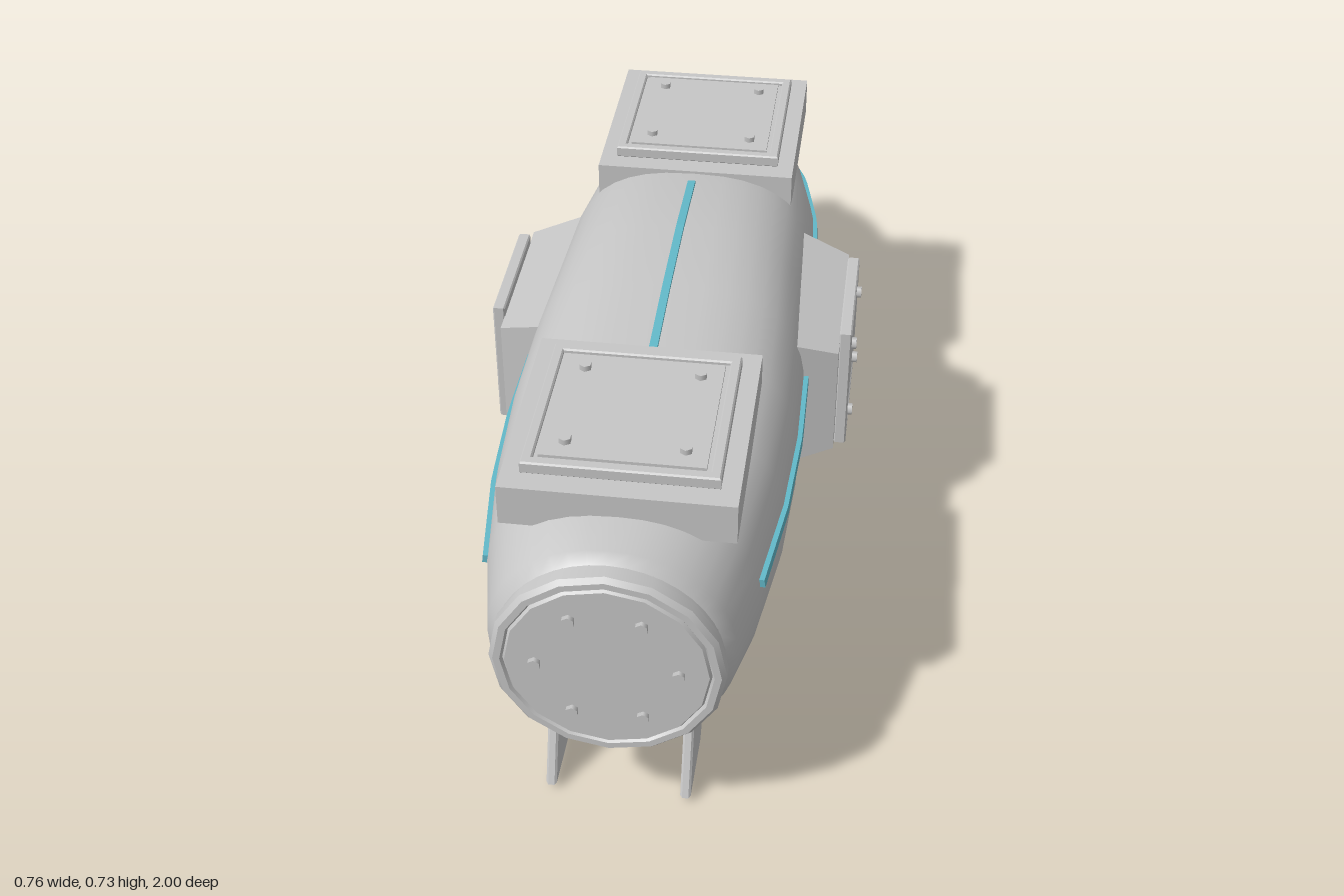
import * as THREE from 'three';

const grey = new THREE.MeshStandardMaterial({ color: 0xc6c6c6 });
grey.name = 'hull grey';
const teal = new THREE.MeshStandardMaterial({ color: 0x62b9c9 });
teal.name = 'stripe teal';

// Hull stations: z, half width, top y, bottom y, squareness
const STATIONS = [
  [0.95, 0.205, 0.63, 0.22, 2], [0.93, 0.222, 0.645, 0.21, 2.1], [0.8, 0.25, 0.655, 0.205, 2.4],
  [0.6, 0.275, 0.665, 0.2, 2.7], [0.4, 0.284, 0.675, 0.198, 2.8], [0.2, 0.28, 0.69, 0.194, 2.8],
  [0, 0.272, 0.695, 0.19, 2.7], [-0.2, 0.268, 0.685, 0.197, 2.6], [-0.4, 0.255, 0.65, 0.225, 2.4],
  [-0.6, 0.215, 0.605, 0.255, 2.2], [-0.7, 0.178, 0.58, 0.27, 2.1], [-0.78, 0.142, 0.56, 0.28, 2],
  [-0.85, 0.113, 0.54, 0.292, 2], [-0.9, 0.083, 0.515, 0.305, 2], [-0.95, 0.05, 0.468, 0.325, 2],
  [-1, 0.038, 0.437, 0.335, 2],
];

// Interpolated hull section at z
function section(z) {
  let i = 0;
  while (i < STATIONS.length - 2 && z < STATIONS[i + 1][0]) i++;
  const a = STATIONS[i], b = STATIONS[i + 1];
  const t = (z - a[0]) / (b[0] - a[0]);
  const [, rx, top, bottom, n] = a.map((v, k) => v + (b[k] - v) * t);
  return { rx, ry: (top - bottom) / 2, cy: (top + bottom) / 2, top, n };
}

function surfaceX(z, y) {
  const s = section(z);
  const v = Math.min(1, Math.abs(y - s.cy) / s.ry);
  return s.rx * Math.pow(1 - Math.pow(v, s.n), 1 / s.n);
}

function add(parent, name, geometry, x = 0, y = 0, z = 0, material = grey) {
  const m = new THREE.Mesh(geometry, material);
  m.name = name;
  m.position.set(x, y, z);
  parent.add(m);
  return m;
}

function hullGeometry() {
  const N = 40, pos = [], idx = [];
  const power = (v, n) => Math.sign(v) * Math.pow(Math.abs(v), 2 / n);
  for (const [z] of STATIONS) {
    const s = section(z);
    for (let j = 0; j < N; j++) {
      const a = (j / N) * Math.PI * 2;
      pos.push(s.rx * power(Math.cos(a), s.n), s.cy + s.ry * power(Math.sin(a), s.n), z);
    }
  }
  for (let i = 0; i < STATIONS.length - 1; i++) {
    for (let j = 0; j < N; j++) {
      const a = i * N + j, b = i * N + (j + 1) % N;
      idx.push(a, a + N, b, b, a + N, b + N);
    }
  }
  const g = new THREE.BufferGeometry();
  g.setAttribute('position', new THREE.Float32BufferAttribute(pos, 3));
  g.setIndex(idx);
  g.computeVertexNormals();
  return g;
}

const boltGeometry = new THREE.CylinderGeometry(0.012, 0.012, 0.012, 6);

// Framed square cover with four bolts, lying flat with its base at y = 0
function cover(name, halfX, halfZ, boltX, boltZ, height = 0.025) {
  const g = new THREE.Group();
  g.name = name;
  const rect = (path, x, z) => path.moveTo(-x, -z).lineTo(x, -z).lineTo(x, z).lineTo(-x, z).closePath();
  const shape = rect(new THREE.Shape(), halfX - 0.003, halfZ - 0.003);
  shape.holes.push(rect(new THREE.Path(), halfX - 0.017, halfZ - 0.017));
  const frame = new THREE.ExtrudeGeometry(shape, {
    depth: height - 0.006, bevelThickness: 0.003, bevelSize: 0.003, bevelSegments: 1,
  });
  frame.rotateX(-Math.PI / 2).translate(0, 0.003, 0);
  add(g, 'coverFrame', frame);
  add(g, 'coverPlate', new THREE.BoxGeometry(2 * halfX - 0.056, height - 0.002, 2 * halfZ - 0.056), 0, height / 2 - 0.001);
  add(g, 'coverBase', new THREE.BoxGeometry(2 * halfX - 0.02, height - 0.008, 2 * halfZ - 0.02), 0, height / 2 - 0.004);
  for (const x of [-1, 1]) for (const z of [-1, 1]) {
    add(g, 'bolt', boltGeometry, x * boltX, height + 0.003, z * boltZ);
  }
  return g;
}

// Round cover facing +z with six bolts
function roundCover(name, r, depth, boltRing) {
  const g = new THREE.Group();
  g.name = name;
  const pts = [[0, 0], [r, 0], [r, depth * 0.7], [r * 0.96, depth], [r * 0.9, depth],
    [r * 0.88, depth * 0.8], [r * 0.86, depth], [0, depth]];
  // Separate bands keep the rim edges sharp
  for (let i = 0; i < pts.length - 1; i++) {
    const band = new THREE.LatheGeometry([pts[i], pts[i + 1]].map(p => new THREE.Vector2(...p)), 16);
    add(g, 'coverBand', band.rotateX(Math.PI / 2));
  }
  for (let i = 0; i < 6; i++) {
    const a = (i / 6) * Math.PI * 2;
    const b = add(g, 'bolt', boltGeometry, Math.cos(a) * boltRing, Math.sin(a) * boltRing, depth + 0.003);
    b.rotation.x = Math.PI / 2;
  }
  return g;
}

// Box whose vertices are moved by rule(x, y, z) -> [x, y, z]
function shapedBox(w, h, d, rule, segments = 1) {
  const g = new THREE.BoxGeometry(w, h, d, 1, 1, segments).toNonIndexed();
  const p = g.attributes.position;
  for (let i = 0; i < p.count; i++) p.setXYZ(i, ...rule(p.getX(i), p.getY(i), p.getZ(i)));
  g.computeVertexNormals();
  return g;
}

export function createModel() {
  const model = new THREE.Group();
  model.name = 'pod';

  // Hull and its two ends
  add(model, 'hull', hullGeometry());
  const tip = add(model, 'tailCap', new THREE.CircleGeometry(1, 40), 0, 0.386, -1);
  tip.scale.set(0.038, 0.051, 1);
  tip.rotation.y = Math.PI;
  const collar = new THREE.CylinderGeometry(0.205, 0.205, 0.03, 16).rotateX(Math.PI / 2);
  add(model, 'frontCollar', collar, 0, 0.425, 0.95);
  const front = roundCover('frontCover', 0.21, 0.03, 0.127);
  front.position.set(0, 0.425, 0.961);
  model.add(front);

  // Top blocks with covers
  for (const [name, y, z] of [['front', 0.655, 0.632], ['rear', 0.642, -0.46]]) {
    add(model, name + 'TopBlock', new THREE.BoxGeometry(0.42, 0.082, 0.435), 0, y, z);
    const c = cover(name + 'TopCover', 0.176, 0.176, 0.107, 0.107);
    c.position.set(0, y + 0.04, z);
    model.add(c);
  }

  for (const s of [1, -1]) {
    const side = s > 0 ? 'left' : 'right';

    // Tapered side pod and cover
    const pod = shapedBox(0.155, 1, 1, (x, y, z) => x * s > 0
      ? [s * 0.345, 0.423 + y * 0.244, 0.01 + z * 0.36]
      : [s * 0.19, 0.423 + y * 0.34, 0.01 + z * 0.44]);
    add(model, side + 'Pod', pod);
    const c = cover(side + 'PodCover', 0.14, 0.14, 0.086, 0.092);
    c.rotation.z = -s * Math.PI / 2;
    c.position.set(s * 0.344, 0.425, 0.01);
    model.add(c);

    // Stripe following the hull side
    const path = [[0.8, 0.478], [0.55, 0.487], [0.2, 0.487], [-0.2, 0.48], [-0.55, 0.466], [-0.77, 0.433]];
    const stripeY = z => {
      let i = 0;
      while (i < path.length - 2 && z < path[i + 1][0]) i++;
      const [a, b] = [path[i], path[i + 1]];
      return a[1] + (b[1] - a[1]) * (z - a[0]) / (b[0] - a[0]);
    };
    const stripe = shapedBox(0.018, 0.017, 1.57, (x, y, z) => {
      const zz = z + 0.015, yy = stripeY(zz) + y;
      return [s * surfaceX(zz, yy) + x, yy, zz];
    }, 40);
    add(model, side + 'Stripe', stripe, 0, 0, 0, teal);

    // Swept fin
    const finShape = new THREE.Shape([[0.83, 0.216], [0.572, 0.216], [0.755, 0.005], [0.907, 0.017]]
      .map(([z, y]) => new THREE.Vector2(-z, y)));
    const fin = new THREE.ExtrudeGeometry(finShape, {
      depth: 0.012, bevelThickness: 0.004, bevelSize: 0.004, bevelSegments: 1,
    });
    fin.translate(0, 0, -0.006).rotateY(Math.PI / 2);
    add(model, side + 'Fin', fin, s * 0.128);
  }

  // Stripe along the spine
  const spine = shapedBox(0.016, 0.014, 0.6, (x, y, z) => [x, section(z + 0.11).top + y, z + 0.11], 16);
  add(model, 'topStripe', spine, 0, 0, 0, teal);

  // Keel, narrower at the bottom and slightly raked at the front
  const keel = shapedBox(1, 1, 1, (x, y, z) => y > 0
    ? [x * 0.08, 0.23, z > 0 ? 0.76 : -0.5]
    : [x * 0.044, 0.12, z > 0 ? 0.72 : -0.5]);
  add(model, 'keel', keel);

  // Belly block and cover
  add(model, 'bellyBlock', new THREE.BoxGeometry(0.24, 0.055, 0.26), 0, 0.187, -0.025);
  const belly = cover('bellyCover', 0.105, 0.105, 0.065, 0.065);
  belly.rotation.z = Math.PI;
  belly.position.set(0, 0.16, -0.025);
  model.add(belly);

  // Rear lower box with round cover
  add(model, 'rearBox', new THREE.BoxGeometry(0.23, 0.27, 0.28), 0, 0.175, -0.59);
  const rear = roundCover('rearCover', 0.105, 0.026, 0.07);
  rear.rotation.y = Math.PI;
  rear.position.set(0, 0.16, -0.729);
  model.add(rear);

  return model;
}
